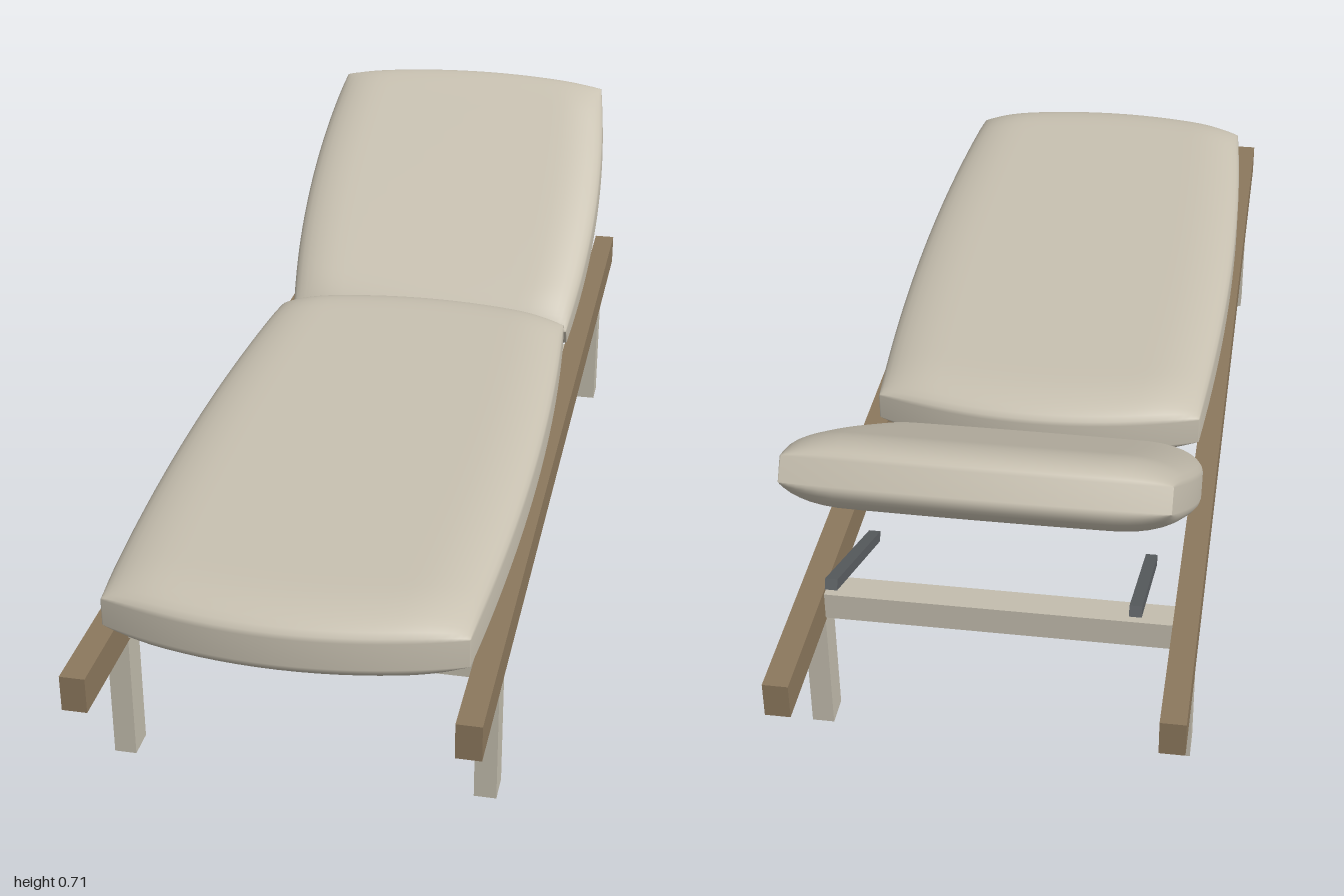
import * as THREE from 'three';
import { mergeVertices } from 'three/addons/utils/BufferGeometryUtils.js';

const mat = (name, color) => {
  const m = new THREE.MeshStandardMaterial({ color });
  m.name = name;
  return m;
};

// Pillow: a flat slab with bowed outlines whose thickness rounds off near the rim
function cushionGeometry({ halfW, halfL, halfH, rim, round, bowX, bowZ }) {
  const box = new THREE.BoxGeometry(2, 2, 2, 28, 1, 36);
  box.deleteAttribute('uv');
  box.deleteAttribute('normal');
  const geo = mergeVertices(box);
  const p = geo.attributes.position;
  const spread = (s) => Math.sin(s * Math.PI / 2); // denser rows near the rim
  const swell = (d) => {
    const t = Math.min(Math.max(d / round, 0), 1);
    return Math.sqrt(1 - (1 - t) ** 2);
  };
  for (let i = 0; i < p.count; i++) {
    const u = spread(p.getX(i)), v = spread(p.getZ(i));
    const w = halfW + bowX * (1 - v * v), l = halfL + bowZ * (1 - u * u);
    const f = swell((1 - Math.abs(u)) * w) * swell((1 - Math.abs(v)) * l);
    p.setXYZ(i, u * w, p.getY(i) * (rim + (halfH - rim) * f), v * l);
  }
  geo.computeVertexNormals();
  return geo;
}

export function createModel() {
  const group = new THREE.Group();
  const wood = mat('wood', 0x8c785d);
  const frame = mat('frame', 0xc3bdae);
  const fabric = mat('fabric', 0xc8c1b1);
  const metal = mat('metal', 0x5c6063);

  const add = (name, geo, material, x, y, z, rx = 0) => {
    const mesh = new THREE.Mesh(geo, material);
    mesh.name = name;
    mesh.position.set(x, y, z);
    mesh.rotation.x = rx;
    group.add(mesh);
  };

  // Side rails, legs and backrest struts, mirrored
  const rail = new THREE.BoxGeometry(0.042, 0.063, 2);
  const leg = new THREE.BoxGeometry(0.038, 0.235, 0.053);
  const strut = new THREE.BoxGeometry(0.02, 0.018, 0.315);
  for (const [side, s] of [['left', 1], ['right', -1]]) {
    add(side + 'Rail', rail, wood, s * 0.314, 0.26, 0);
    add(side + 'FrontLeg', leg, frame, s * 0.312, 0.1175, 0.77);
    add(side + 'BackLeg', leg, frame, s * 0.312, 0.1175, -0.738);
    add(side + 'Strut', strut, metal, s * 0.242, 0.352, -0.745, 0.41);
  }

  // Evenly spaced cross bars
  const bar = new THREE.BoxGeometry(0.59, 0.05, 0.05);
  for (let i = 0; i < 5; i++) add('crossBar' + (i + 1), bar, frame, 0, 0.26, 0.77 - i * 0.377);

  // Cushions
  add('seatCushion', cushionGeometry({
    halfW: 0.298, halfL: 0.592, halfH: 0.062, rim: 0.024, round: 0.11, bowX: 0.025, bowZ: 0.054,
  }), fabric, 0, 0.348, 0.302);
  add('backCushion', cushionGeometry({
    halfW: 0.296, halfL: 0.333, halfH: 0.058, rim: 0.02, round: 0.1, bowX: 0.027, bowZ: 0.026,
  }), fabric, 0, 0.487, -0.652, 0.567);

  return group;
}
